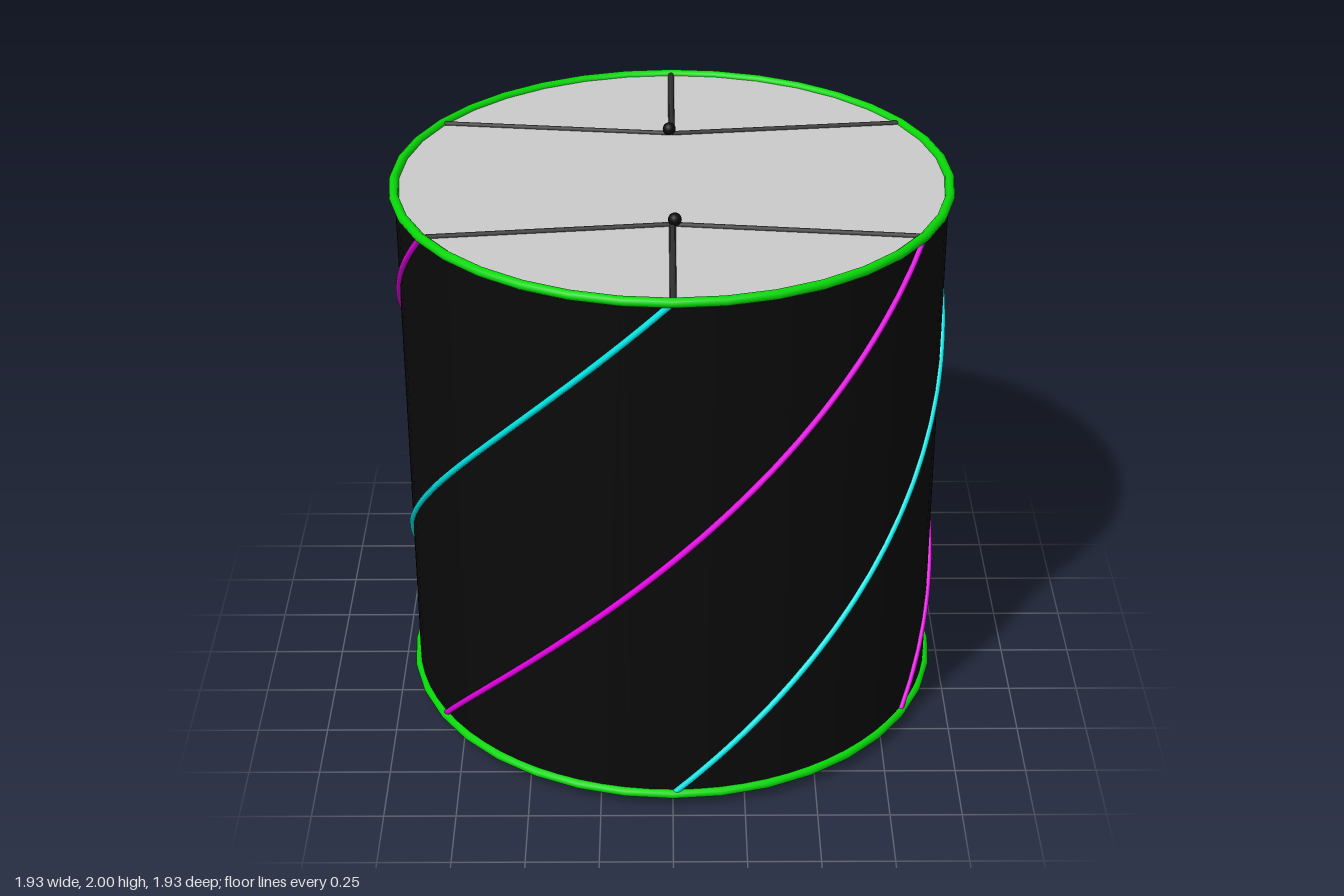
import * as THREE from 'three';

const R = 0.95, Y0 = 0.055, Y1 = 1.957;
const mat = (color) => new THREE.MeshStandardMaterial({ color });

// Point on the drum rim; azimuth in degrees, 0 = front, 90 = +x
function rim(deg, y, r = R) {
  const a = THREE.MathUtils.degToRad(deg);
  return new THREE.Vector3(r * Math.sin(a), y, r * Math.cos(a));
}

export function createModel() {
  const model = new THREE.Group();
  const black = mat(0x0a0a0a), green = mat(0x08d808), grey = mat(0xcccccc), dark = mat(0x303030);
  const cyan = mat(0x00e5e5), magenta = mat(0xe500e5);

  const add = (name, geometry, material, parent = model) => {
    const mesh = new THREE.Mesh(geometry, material);
    mesh.name = name;
    parent.add(mesh);
    return mesh;
  };

  // Straight round rod between two points
  const rod = (name, a, b, radius, material, parent) =>
    add(name, new THREE.TubeGeometry(new THREE.LineCurve3(a, b), 1, radius, 8), material, parent);

  // Black drum wall
  const wall = add('drumWall', new THREE.CylinderGeometry(0.946, 0.946, Y1 - Y0, 72, 1, true), black);
  wall.material.side = THREE.DoubleSide;
  wall.position.y = (Y0 + Y1) / 2;

  // Six rods winding 120 degrees up the wall, alternating colours
  for (let i = 0; i < 6; i++) {
    const pts = [];
    for (let k = 0; k <= 24; k++) {
      const t = k / 24;
      pts.push(rim(i * 60 + 120 * t, Y0 + (Y1 - Y0) * t, 0.949));
    }
    add('spiralRod' + (i + 1), new THREE.TubeGeometry(new THREE.CatmullRomCurve3(pts), 64, 0.011, 8),
      i % 2 ? magenta : cyan);
  }

  // Both ends: disc, rim ring, seams and knobs
  for (const [name, y, up] of [['top', Y1, 1], ['bottom', Y0, -1]]) {
    const end = new THREE.Group();
    end.name = name + 'End';
    model.add(end);

    const disc = add(name + 'Disc', new THREE.CircleGeometry(0.946, 72), grey, end);
    disc.rotation.x = -up * Math.PI / 2;
    disc.position.y = y;

    const ring = add(name + 'Ring', new THREE.TorusGeometry(R, 0.017, 10, 36), green, end);
    ring.rotation.x = Math.PI / 2;
    ring.position.y = y;

    // Two mirrored nodes, each with three seams running to the rim
    for (const side of [1, -1]) {
      const node = new THREE.Vector3(0, y, side * 0.38);
      const base = side > 0 ? 0 : 180;
      for (const turn of [-60, 0, 60]) {
        rod(name + 'Seam', node, rim(base + turn, y), 0.011, dark, end);
      }
      const knob = add(name + 'Knob', new THREE.SphereGeometry(0.023, 14, 10), up > 0 ? black : grey, end);
      knob.position.set(side * 0.008, up > 0 ? 1.977 : 0.023, side * 0.38);
    }
  }
  return model;
}
